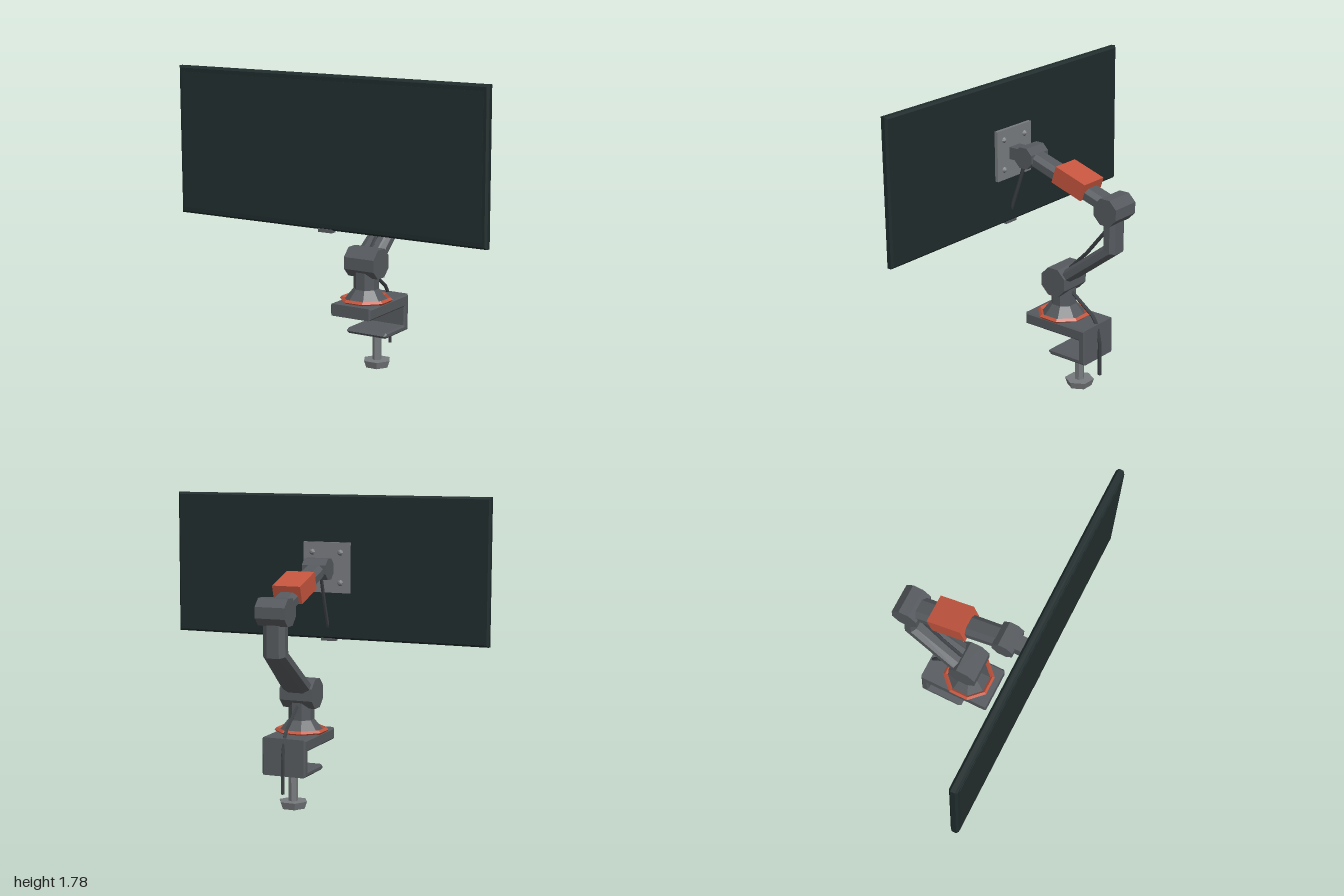
import * as THREE from 'three';

const mat = (name, color) => {
  const m = new THREE.MeshStandardMaterial({ color });
  m.name = name;
  return m;
};

export function createModel() {
  const grey = mat('dark grey metal', 0x55595d);
  const steel = mat('light steel', 0x777a7d);
  const orange = mat('orange accent', 0xc4553e);
  const black = mat('monitor black', 0x1f2b2b);
  const glass = mat('screen glass', 0x222d2d);
  const rubber = mat('cable rubber', 0x3b3f43);

  const model = new THREE.Group();
  model.name = 'monitorArm';

  // Faceted mesh: every face keeps its own normal
  const add = (name, geo, material, x = 0, y = 0, z = 0) => {
    const g = geo.index ? geo.toNonIndexed() : geo;
    g.computeVertexNormals();
    const mesh = new THREE.Mesh(g, material);
    mesh.name = name;
    mesh.position.set(x, y, z);
    model.add(mesh);
    return mesh;
  };
  const flat = Math.cos(Math.PI / 8);
  // Octagonal prism with flats facing the axes, sized by its apothem
  const octagon = (top, bottom, h) =>
    new THREE.CylinderGeometry(top / flat, bottom / flat, h, 8).rotateY(Math.PI / 8);
  const joint = (name, apothem, width, y, z) =>
    add(name, octagon(apothem, apothem, width).rotateZ(Math.PI / 2), grey, 0, y, z);

  // Arm with a chamfered section; each section is [lowerZ, lowerY, upperZ, upperY, halfWidth]
  const arm = (name, sections) => {
    const profile = [[0.55, 0], [1, 0.25], [1, 0.75], [0.55, 1], [-0.55, 1], [-1, 0.75], [-1, 0.25], [-0.55, 0]];
    const rings = sections.map(([lz, ly, uz, uy, w]) =>
      profile.map(([u, v]) => [u * w, ly + (uy - ly) * v, lz + (uz - lz) * v]));
    const pos = [];
    const tri = (...pts) => pts.forEach(p => pos.push(...p));
    const n = profile.length;
    for (let s = 0; s < rings.length - 1; s++) {
      const p = rings[s], q = rings[s + 1];
      for (let i = 0; i < n; i++) {
        const j = (i + 1) % n;
        tri(p[i], q[i], p[j]);
        tri(p[j], q[i], q[j]);
      }
    }
    const last = rings[rings.length - 1];
    for (let i = 1; i < n - 1; i++) {
      tri(rings[0][0], rings[0][i], rings[0][i + 1]);
      tri(last[0], last[i + 1], last[i]);
    }
    const g = new THREE.BufferGeometry();
    g.setAttribute('position', new THREE.Float32BufferAttribute(pos, 3));
    add(name, g, grey);
  };

  // Cable through [z, y] points on the centre line
  const cable = (name, pts, r = 0.011) => {
    const path = new THREE.CurvePath();
    const v = pts.map(([z, y]) => new THREE.Vector3(0, y, z));
    for (let i = 1; i < v.length; i++) path.add(new THREE.LineCurve3(v[i - 1], v[i]));
    add(name, new THREE.TubeGeometry(path, 20, r, 6), rubber);
  };

  // Desk clamp: C-shaped side outline extruded across x
  const c = new THREE.Shape();
  [[0.17, 0.367], [0.17, 0.42], [-0.25, 0.42], [-0.25, 0.22], [-0.01, 0.22], [0, 0.228], [-0.01, 0.236], [-0.222, 0.236], [-0.222, 0.367]]
    .forEach(([z, y], i) => (i ? c.lineTo(z, y) : c.moveTo(z, y)));
  c.closePath();
  const clamp = new THREE.ExtrudeGeometry(c, { depth: 0.25, bevelSize: 0.009, bevelThickness: 0.009, bevelSegments: 1 });
  clamp.translate(0, 0, -0.125).rotateY(-Math.PI / 2);
  add('deskClamp', clamp, grey);
  add('clampScrew', new THREE.CylinderGeometry(0.028, 0.028, 0.18, 6), steel, 0, 0.13, -0.12);
  add('clampKnob', new THREE.CylinderGeometry(0.087, 0.072, 0.042, 6).rotateY(Math.PI / 6), steel, 0, 0.021, -0.12);

  // Base and shoulder
  add('baseRing', new THREE.TorusGeometry(0.143, 0.014, 4, 8).rotateZ(Math.PI / 8).rotateX(Math.PI / 2), orange, 0, 0.437, 0);
  add('baseCone', octagon(0.07, 0.125, 0.075), grey, 0, 0.463, 0);
  add('baseColumn', octagon(0.069, 0.069, 0.14), grey, 0, 0.56, 0);
  joint('shoulderJoint', 0.085, 0.2, 0.655, 0);

  // Arms, elbow and accent cover
  arm('lowerArm', [
    [-0.02, 0.615, 0.025, 0.673, 0.09],
    [-0.4, 0.906, -0.32, 0.943, 0.068],
    [-0.4, 1.16, -0.32, 1.16, 0.066],
  ]);
  joint('elbowJoint', 0.077, 0.18, 1.163, -0.363);
  arm('upperArm', [
    [0.235, 1.31, 0.21, 1.39, 0.06],
    [-0.35, 1.125, -0.375, 1.205, 0.07],
  ]);
  const cover = add('springCover', new THREE.BoxGeometry(0.172, 0.105, 0.217), orange, 0, 1.275, -0.1);
  cover.rotation.x = -0.309;

  // Head joint and mounting plate
  joint('headJoint', 0.062, 0.15, 1.352, 0.238);
  add('headNeck', new THREE.BoxGeometry(0.09, 0.072, 0.11), grey, 0, 1.351, 0.315);
  add('mountPlate', new THREE.BoxGeometry(0.296, 0.3, 0.025), steel, 0, 1.35, 0.378);
  for (const x of [-0.09, 0.09])
    for (const y of [1.26, 1.44])
      add('plateBolt', new THREE.CylinderGeometry(0.007, 0.02, 0.016, 8).rotateX(-Math.PI / 2), steel, x, y, 0.359);

  // Monitor with chamfered edges
  const w = 0.988, h = 0.418;
  const s = new THREE.Shape([[-w, -h], [w, -h], [w, h], [-w, h]].map(p => new THREE.Vector2(...p)));
  const body = new THREE.ExtrudeGeometry(s, { depth: 0.026, bevelSize: 0.012, bevelThickness: 0.012, bevelSegments: 1 });
  add('monitorBody', body, black, 0, 1.35, 0.399);
  add('screen', new THREE.BoxGeometry(1.94, 0.79, 0.004), glass, 0, 1.35, 0.437);
  add('sensorTab', new THREE.BoxGeometry(0.09, 0.02, 0.04), grey, 0, 0.916, 0.416);

  // Cables
  cable('monitorCable', [[0.28, 1.32], [0.345, 1.13], [0.4, 0.98]]);
  cable('elbowCable', [[-0.315, 1.12], [-0.32, 1.035], [-0.17, 0.85], [-0.05, 0.73]]);
  cable('baseCable', [[-0.05, 0.59], [-0.22, 0.467], [-0.245, 0.42], [-0.268, 0.32], [-0.27, 0.11]]);

  return model;
}
